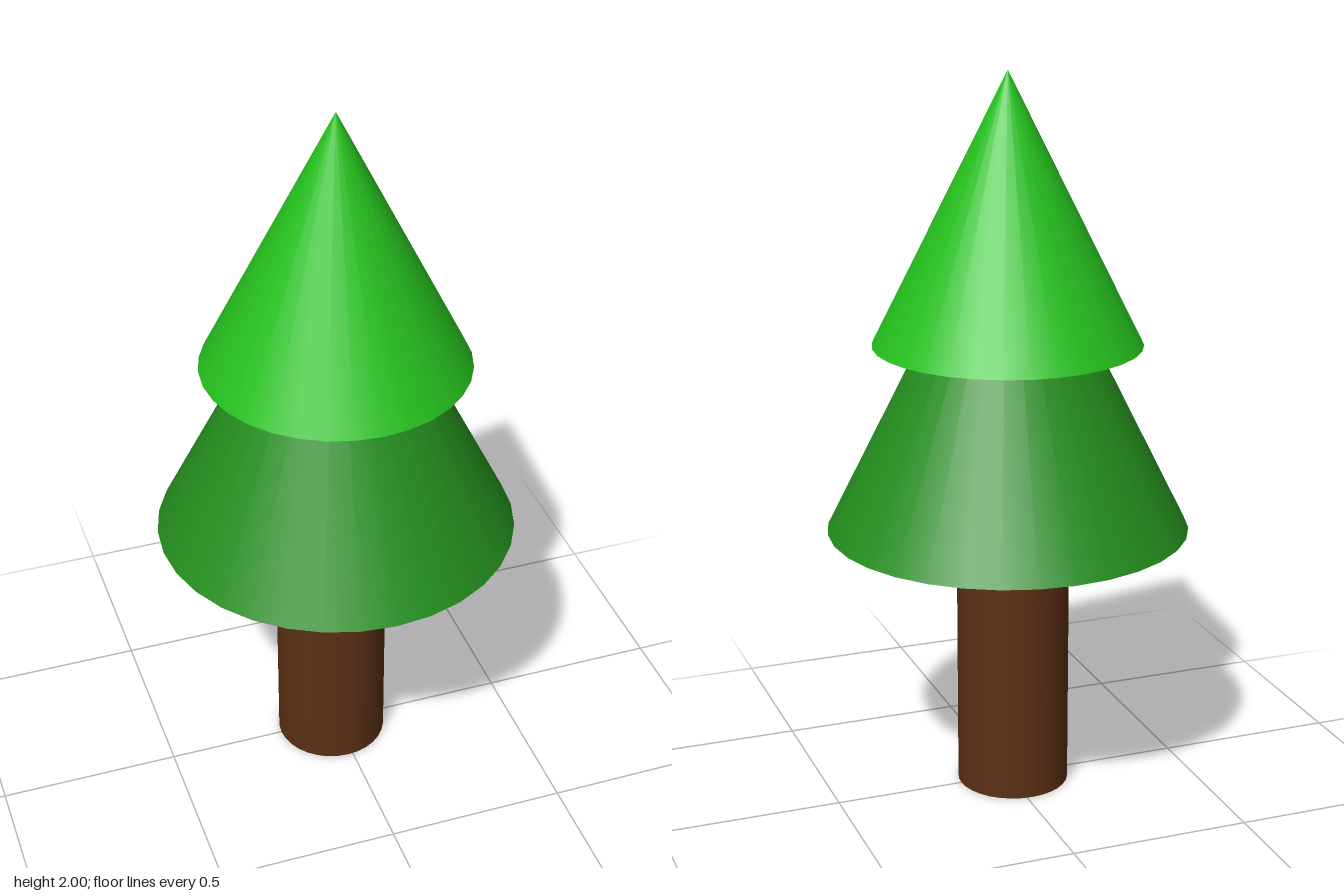
import * as THREE from 'three';

const SIDES = 32;

// Adds a named, capped round part standing on height y
function addPart(group, name, geometry, height, color, x, y) {
  const mesh = new THREE.Mesh(geometry, new THREE.MeshStandardMaterial({ color }));
  mesh.name = name;
  mesh.position.set(x, y + height / 2, 0);
  group.add(mesh);
}

export function createModel() {
  const tree = new THREE.Group();
  tree.name = 'tree';

  // Trunk, slightly off the axis and reaching into the foliage
  addPart(tree, 'trunk', new THREE.CylinderGeometry(0.155, 0.155, 0.8, SIDES), 0.8, 0x5c3014, -0.015, 0);

  // Two overlapping foliage cones, each twice as tall as its radius
  addPart(tree, 'lowerFoliage', new THREE.ConeGeometry(0.495, 0.99, SIDES), 0.99, 0x248f1e, 0, 0.755);
  addPart(tree, 'upperFoliage', new THREE.ConeGeometry(0.365, 0.73, SIDES), 0.73, 0x26c21e, 0, 1.27);

  return tree;
}
